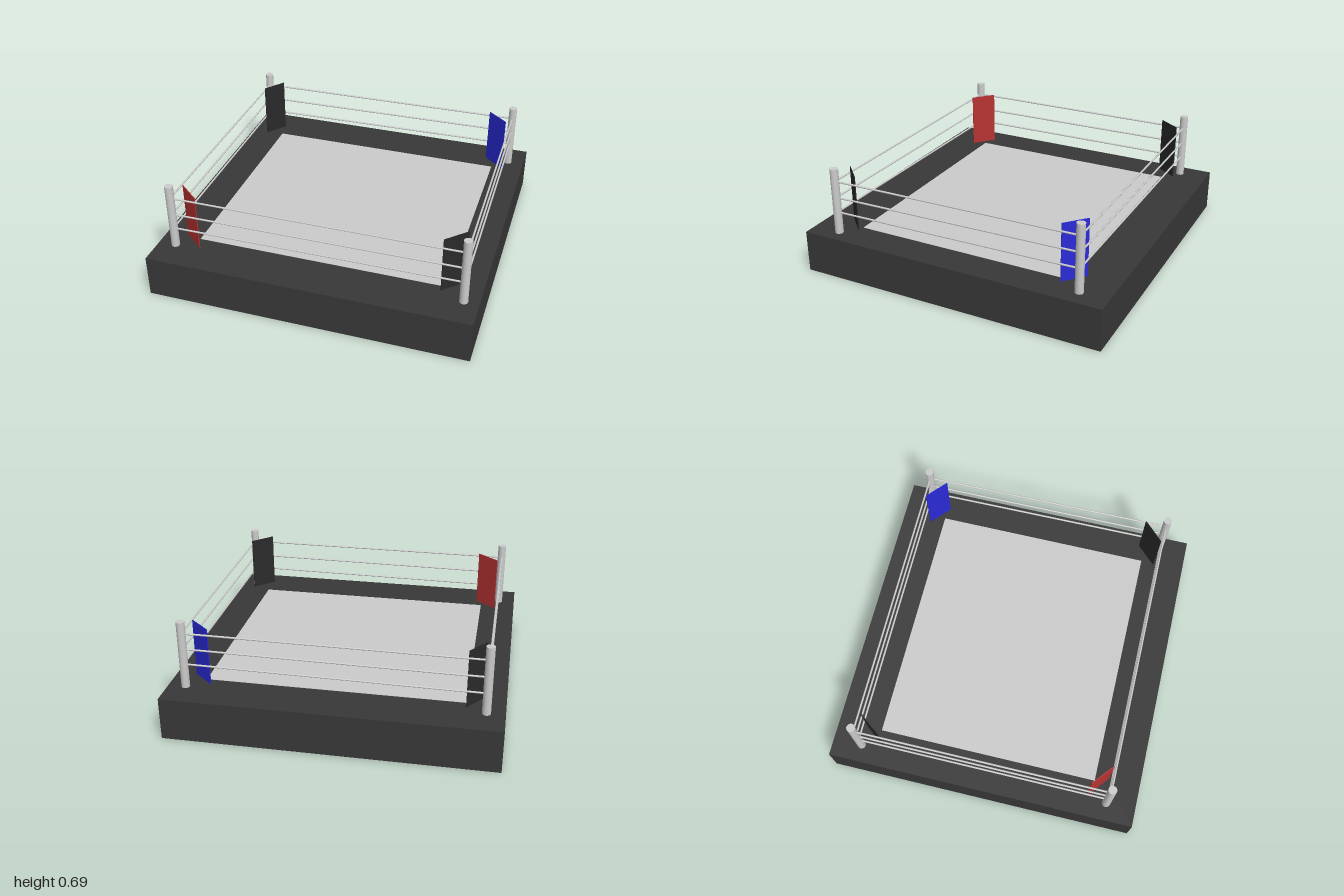
import * as THREE from 'three';

const DECK = 0.265;
const V = (x, y, z) => new THREE.Vector3(x, y, z);
const mat = (color) => new THREE.MeshStandardMaterial({ color });

// Straight round bar between two points
function bar(name, a, b, radius, sides, material) {
  const dir = b.clone().sub(a);
  const mesh = new THREE.Mesh(new THREE.CylinderGeometry(radius, radius, dir.length(), sides), material);
  mesh.position.copy(a).add(b).multiplyScalar(0.5);
  mesh.quaternion.setFromUnitVectors(V(0, 1, 0), dir.normalize());
  mesh.name = name;
  return mesh;
}

export function createModel() {
  const ring = new THREE.Group();
  ring.name = 'boxingRing';
  const grey = mat(0xcccccc), dark = mat(0x383838), black = mat(0x2a2a2a);

  const addBox = (name, w, h, d, x, y, z, material) => {
    const mesh = new THREE.Mesh(new THREE.BoxGeometry(w, h, d), material);
    mesh.position.set(x, y, z);
    mesh.name = name;
    ring.add(mesh);
    return mesh;
  };

  // Raised platform and canvas floor
  addBox('platform', 2, DECK, 1.96, 0, DECK / 2, 0, dark);
  addBox('canvas', 1.565, 0.01, 1.395, 0.0125, DECK - 0.003, 0, grey);

  // Corners in order round the ring, with rope heights and pad end points
  const corners = [
    { name: 'frontRight', x: -0.89, z: 0.795, ropes: [0.39, 0.49, 0.605], pad: [-0.865, 0.67, -0.735, 0.78], y: [0.265, 0.625], m: mat(0xb83232) },
    { name: 'frontLeft', x: 0.908, z: 0.795, ropes: [0.402, 0.5, 0.607], pad: [0.77, 0.78, 0.89, 0.66], y: [0.3, 0.655], m: black },
    { name: 'backLeft', x: 0.893, z: -0.8, ropes: [0.413, 0.512, 0.613], pad: [0.74, -0.785, 0.865, -0.675], y: [0.285, 0.645], m: mat(0x2a2ad8) },
    { name: 'backRight', x: -0.89, z: -0.795, ropes: [0.395, 0.498, 0.605], pad: [-0.87, -0.65, -0.775, -0.78], y: [0.285, 0.645], m: black },
  ];

  corners.forEach((c, i) => {
    // Corner post
    ring.add(bar(c.name + 'Post', V(c.x, DECK - 0.01, c.z), V(c.x, 0.69, c.z), 0.026, 24, grey));

    // Thin pad set diagonally across the corner
    const [x0, z0, x1, z1] = c.pad, [y0, y1] = c.y;
    const pad = addBox(c.name + 'Pad', Math.hypot(x1 - x0, z1 - z0), y1 - y0, 0.005,
      (x0 + x1) / 2, (y0 + y1) / 2, (z0 + z1) / 2, c.m);
    pad.rotation.y = -Math.atan2(z1 - z0, x1 - x0);

    // Three ropes to the next corner
    const next = corners[(i + 1) % 4];
    c.ropes.forEach((y, k) => ring.add(bar(c.name + 'Rope' + (k + 1),
      V(c.x, y, c.z), V(next.x, next.ropes[k], next.z), 0.006, 10, grey)));
  });

  return ring;
}
